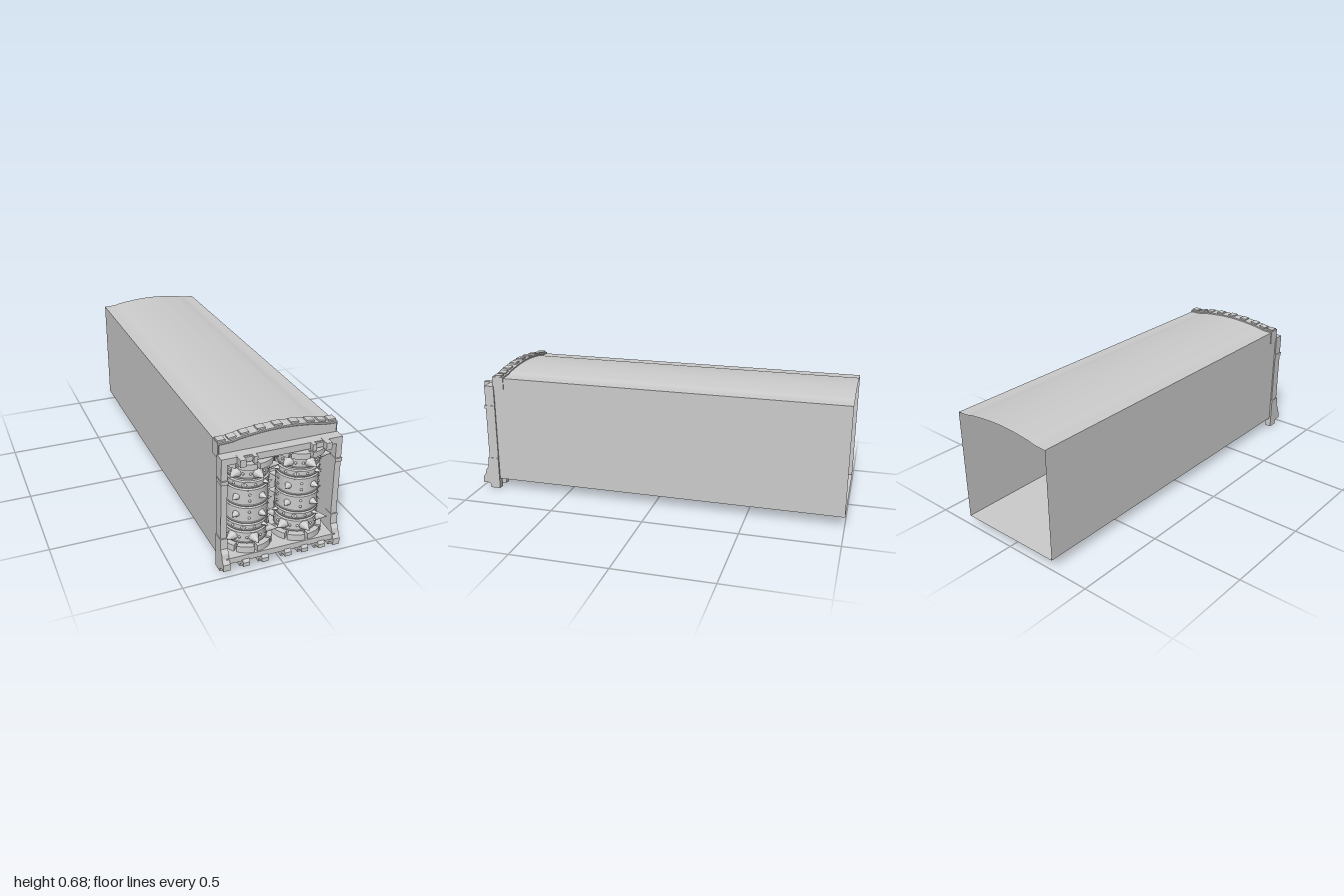
import * as THREE from 'three';
import { toCreasedNormals } from 'three/addons/utils/BufferGeometryUtils.js';

const smooth = new THREE.MeshStandardMaterial({ color: 0xcccccc });
const flat = new THREE.MeshStandardMaterial({ color: 0xcccccc, flatShading: true });
const thin = new THREE.MeshStandardMaterial({ color: 0xcccccc, side: THREE.DoubleSide });

function add(parent, name, geometry, material = flat) {
  const mesh = new THREE.Mesh(geometry, material);
  mesh.name = name;
  parent.add(mesh);
  return mesh;
}

// Box given by its limits on each axis
function block(parent, name, x0, x1, y0, y1, z0, z1) {
  const mesh = add(parent, name, new THREE.BoxGeometry(x1 - x0, y1 - y0, z1 - z0));
  mesh.position.set((x0 + x1) / 2, (y0 + y1) / 2, (z0 + z1) / 2);
  return mesh;
}

// Shape in x,y pushed along z
function slab(shape, z0, z1) {
  const geo = new THREE.ExtrudeGeometry(shape, { depth: z1 - z0, bevelEnabled: false, curveSegments: 6 });
  return geo.translate(0, 0, z0);
}

// Side profile of [z, y] points pushed along x
function sideProfile(points, x0, x1) {
  const shape = new THREE.Shape(points.map(([z, y]) => new THREE.Vector2(-z, y)));
  const geo = new THREE.ExtrudeGeometry(shape, { depth: x1 - x0, bevelEnabled: false });
  return geo.rotateY(Math.PI / 2).translate(x0, 0, 0);
}

// Roof arch from right to left, flattening out at both edges
function arch(halfWidth, lift) {
  const half = [[1, 0], [0.79, 0.003], [0.62, 0.013], [0.28, 0.024]];
  const pts = [
    ...half.map(([u, y]) => new THREE.Vector2(-u * halfWidth, lift + y)),
    new THREE.Vector2(0, lift + 0.027),
    ...half.slice().reverse().map(([u, y]) => new THREE.Vector2(u * halfWidth, lift + y)),
  ];
  return new THREE.SplineCurve(pts).getPoints(32);
}

// Long open-backed shell
function shellGeometry() {
  const ring = [new THREE.Vector2(-0.29, 0.055), ...arch(0.29, 0.638), new THREE.Vector2(0.29, 0.055)];
  const pos = [], index = [], n = ring.length;
  ring.forEach((p) => pos.push(p.x, p.y, -1, p.x, p.y, 0.9));
  for (let i = 0; i < n; i++) {
    const a = 2 * i, b = 2 * ((i + 1) % n);
    index.push(a, a + 1, b, b, a + 1, b + 1);
  }
  const geo = new THREE.BufferGeometry();
  geo.setAttribute('position', new THREE.Float32BufferAttribute(pos, 3));
  geo.setIndex(index);
  return toCreasedNormals(geo, 0.5);
}

// Spiked grinding drum
function createDrum() {
  const drum = new THREE.Group();
  drum.name = 'spikedDrum';
  const R = 0.1;

  // Body: raised bands with grooves between
  const profile = [[0, 0.085], [R, 0.085]];
  const bands = [[0.12, 0.178], [0.19, 0.219], [0.229, 0.311], [0.321, 0.407], [0.418, 0.448], [0.464, 0.52]];
  for (const [lo, hi] of bands) {
    profile.push([0.095, lo - 0.004], [0.103, lo], [0.103, lo + 0.004], [R, lo + 0.006],
      [R, hi - 0.006], [0.103, hi - 0.004], [0.103, hi], [0.095, hi + 0.004]);
  }
  profile.push([R, 0.53], [R, 0.552], [0, 0.552]);
  const lathe = new THREE.LatheGeometry(profile.map(([r, y]) => new THREE.Vector2(r, y)), 40);
  add(drum, 'drumBody', toCreasedNormals(lathe, 0.5), smooth);

  // Split collars at both ends
  const arc = new THREE.Shape();
  arc.absarc(0, 0, 0.126, -0.34, 0.34, false);
  arc.absarc(0, 0, 0.095, 0.34, -0.34, true);
  for (const [y0, y1] of [[0.083, 0.115], [0.524, 0.553]]) {
    const geo = slab(arc, 0, y1 - y0).rotateX(-Math.PI / 2);
    for (let i = 0; i < 8; i++) {
      const tooth = add(drum, 'collarSegment', geo);
      tooth.position.y = y0;
      tooth.rotation.y = (i + 0.5) * Math.PI / 4;
    }
  }

  const around = (name, geo, y, count, startDeg, material) => {
    for (let i = 0; i < count; i++) {
      const mesh = add(drum, name, geo, material);
      mesh.position.y = y;
      mesh.rotation.y = THREE.MathUtils.degToRad(startDeg + i * 360 / count);
    }
  };
  const spike = (radius, tip, sides) => {
    const h = tip - 0.092;
    return new THREE.ConeGeometry(radius, h, sides).rotateX(Math.PI / 2).translate(0, 0, 0.092 + h / 2);
  };
  const stud = new THREE.SphereGeometry(0.0065, 8, 6).translate(0, 0, R);
  const bigSpike = spike(0.028, 0.152, 12);
  const midSpike = spike(0.02, 0.136, 12);
  const smallSpike = spike(0.017, 0.13, 4);

  for (const [y, turn] of [[0.15, 0], [0.49, 6]]) {
    around('largeSpike', bigSpike, y, 6, turn);
    around('stud', stud, y, 6, turn + 20, smooth);
    around('stud', stud, y, 6, turn + 40, smooth);
  }
  for (const y of [0.205, 0.432]) {
    around('smallSpike', smallSpike, y, 6, 30);
    around('stud', stud, y, 6, 0, smooth);
  }
  for (const y of [0.273, 0.365]) {
    around('mediumSpike', midSpike, y, 5, 21);
    for (const dy of [-0.016, 0.016]) around('stud', stud, y + dy, 5, 57, smooth);
  }
  return drum;
}

export function createModel() {
  const model = new THREE.Group();
  model.name = 'tunnelWithDrums';

  add(model, 'shell', shellGeometry(), thin);
  block(model, 'floorPlate', -0.262, 0.262, 0.052, 0.058, 0.7, 0.9);

  // Arched band with clamps on top
  const top = arch(0.294, 0.645);
  const band = new THREE.Shape([new THREE.Vector2(-0.294, 0.57), new THREE.Vector2(0.294, 0.57), ...top.slice().reverse()]);
  add(model, 'archBand', slab(band, 0.835, 0.895));
  for (let i = -4; i <= 4; i++) {
    const p = top[16 + Math.round(i * 3.65)];
    const clamp = block(model, 'roofClamp', -0.019, 0.019, -0.01, 0.006, 0.845, 0.885);
    clamp.position.x = i === 0 ? 0 : Math.sign(i) * Math.min(Math.abs(p.x), 0.272);
    clamp.position.y = p.y;
    clamp.rotation.z = Math.abs(i) === 4 ? 0 : -i * 0.05;
  }

  // Front frame around the opening
  const frame = new THREE.Shape([[-0.297, 0.053], [0.297, 0.053], [0.297, 0.591], [-0.297, 0.591]]
    .map(([x, y]) => new THREE.Vector2(x, y)));
  frame.holes.push(new THREE.Path([[-0.267, 0.083], [-0.267, 0.558], [0.267, 0.558], [0.267, 0.083]]
    .map(([x, y]) => new THREE.Vector2(x, y))));
  add(model, 'frontFrame', slab(frame, 0.893, 0.946));
  block(model, 'sill', -0.28, 0.28, 0.053, 0.083, 0.9, 0.978);

  // Recess that holds the drums
  block(model, 'recessBack', -0.27, 0.27, 0.07, 0.57, 0.694, 0.7);
  block(model, 'recessFloor', -0.27, 0.27, 0.07, 0.083, 0.7, 0.9);
  block(model, 'recessCeiling', -0.27, 0.27, 0.558, 0.57, 0.7, 0.9);

  // Corner feet, post clamps and upper brackets, mirrored
  const cornerFoot = [[0.893, 0], [0.946, 0], [0.95, 0.022], [0.972, 0.03], [0.99, 0.026], [0.99, 0.06],
    [0.976, 0.08], [0.97, 0.105], [0.955, 0.125], [0.952, 0.178], [0.893, 0.178]];
  for (const s of [-1, 1]) {
    const span = (a, b) => (s > 0 ? [a, b] : [-b, -a]);
    add(model, 'cornerFoot', sideProfile(cornerFoot, ...span(0.265, 0.3)));
    block(model, 'recessSide', ...span(0.267, 0.275), 0.07, 0.57, 0.7, 0.9);
    block(model, 'postClamp', ...span(0.265, 0.3), 0.463, 0.482, 0.893, 0.952);
    block(model, 'upperBracket', ...span(0.195, 0.223), 0.557, 0.593, 0.93, 0.984);
    block(model, 'upperTab', ...span(0.134, 0.153), 0.557, 0.591, 0.93, 0.97);
    block(model, 'bracketBar', ...span(0.153, 0.195), 0.562, 0.587, 0.93, 0.955);
  }

  // Hooked feet under the sill
  const hookFoot = [[0.893, 0], [0.946, 0], [0.95, 0.02], [0.972, 0.03], [0.988, 0.026], [0.988, 0.046],
    [0.978, 0.06], [0.893, 0.06]];
  for (const x of [-0.183, -0.088, 0.029, 0.117, 0.205]) {
    add(model, 'hookFoot', sideProfile(hookFoot, x - 0.017, x + 0.017));
  }

  for (const x of [-0.131, 0.128]) {
    const drum = createDrum();
    drum.position.set(x, 0, 0.848);
    model.add(drum);
  }
  return model;
}
